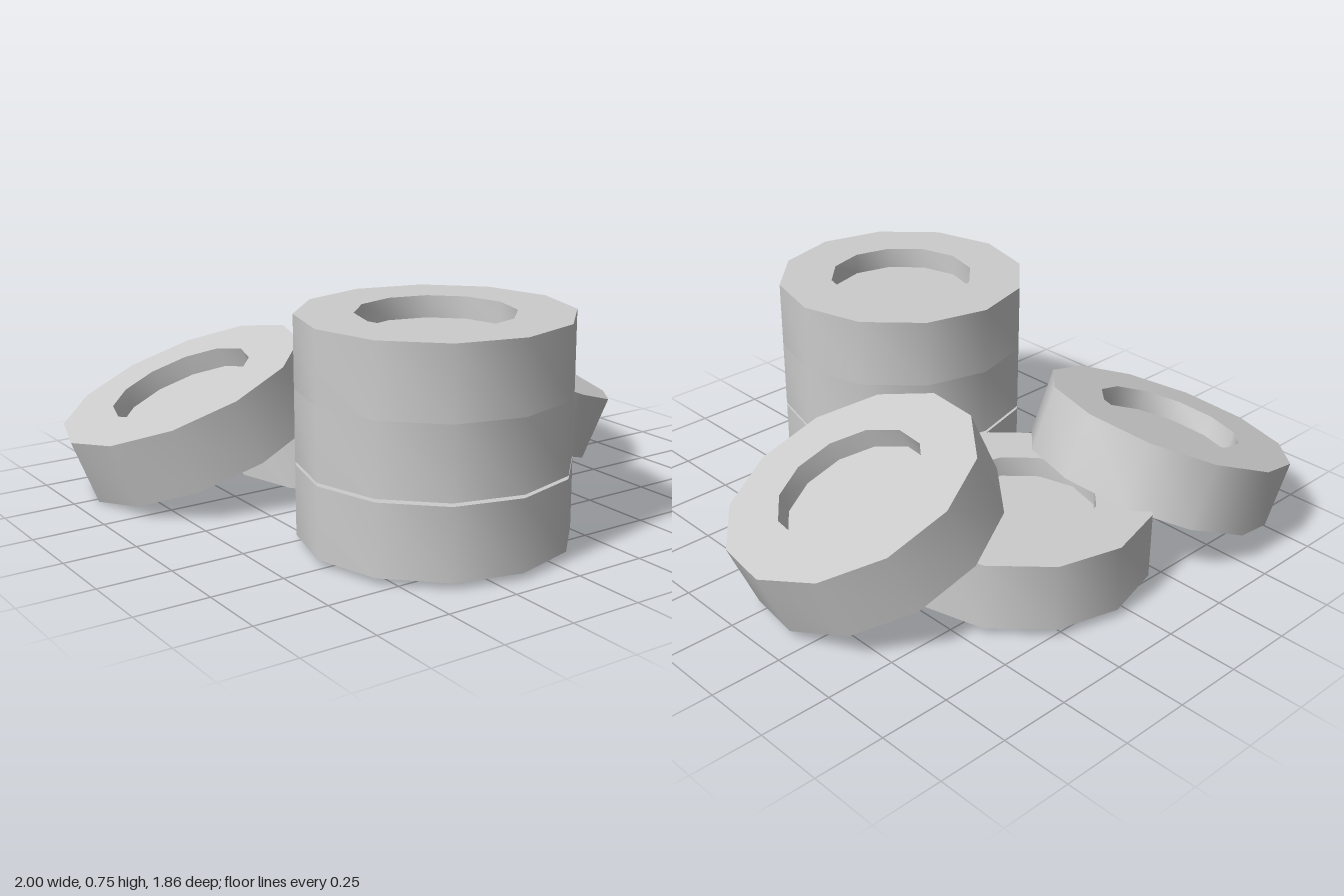
import * as THREE from 'three';
import { toCreasedNormals } from 'three/addons/utils/BufferGeometryUtils.js';

const R = 0.45, HOLE = 0.26, H = 0.12, DEPTH = 0.075;

// Twelve-sided tyre with a closed recess on each face
function tyreGeometry() {
  const profile = [
    [0, -H + DEPTH], [HOLE, -H + DEPTH], [HOLE, -H], [R, -H],
    [R, H], [HOLE, H], [HOLE, H - DEPTH], [0, H - DEPTH],
  ].map(([x, y]) => new THREE.Vector2(x, y));
  return toCreasedNormals(new THREE.LatheGeometry(profile, 12), 0.7);
}

export function createModel() {
  const group = new THREE.Group();
  group.name = 'tyrePile';
  const geometry = tyreGeometry();
  const material = new THREE.MeshStandardMaterial({ color: 0xcccccc });

  // axis: direction of the tyre's axle; corner: direction of one of its corners
  function addTyre(name, position, axis = [0, 1, 0], corner = [1, 0, 0]) {
    const y = new THREE.Vector3(...axis).normalize();
    const x = new THREE.Vector3(...corner);
    x.addScaledVector(y, -x.dot(y)).normalize();
    const z = new THREE.Vector3().crossVectors(x, y);
    const tyre = new THREE.Mesh(geometry, material);
    tyre.name = name;
    tyre.position.set(...position);
    tyre.quaternion.setFromRotationMatrix(new THREE.Matrix4().makeBasis(x, y, z));
    group.add(tyre);
  }

  // Stack of three at the front
  ['stackBottomTyre', 'stackMiddleTyre', 'stackTopTyre'].forEach((name, i) =>
    addTyre(name, [-0.163, [0.14, 0.391, 0.631][i], 0.477]));

  // Flat tyre behind, with one leaning on each side of it
  addTyre('flatTyre', [0.055, 0.146, -0.37]);
  addTyre('rightLeaningTyre', [-0.538, 0.267, -0.473], [-0.345, 0.934, -0.085], [0.022, -0.032, -0.447]);
  addTyre('leftLeaningTyre', [0.534, 0.3, -0.122], [0.365, 0.918, 0.147], [0.417, -0.162, -0.051]);

  return group;
}
